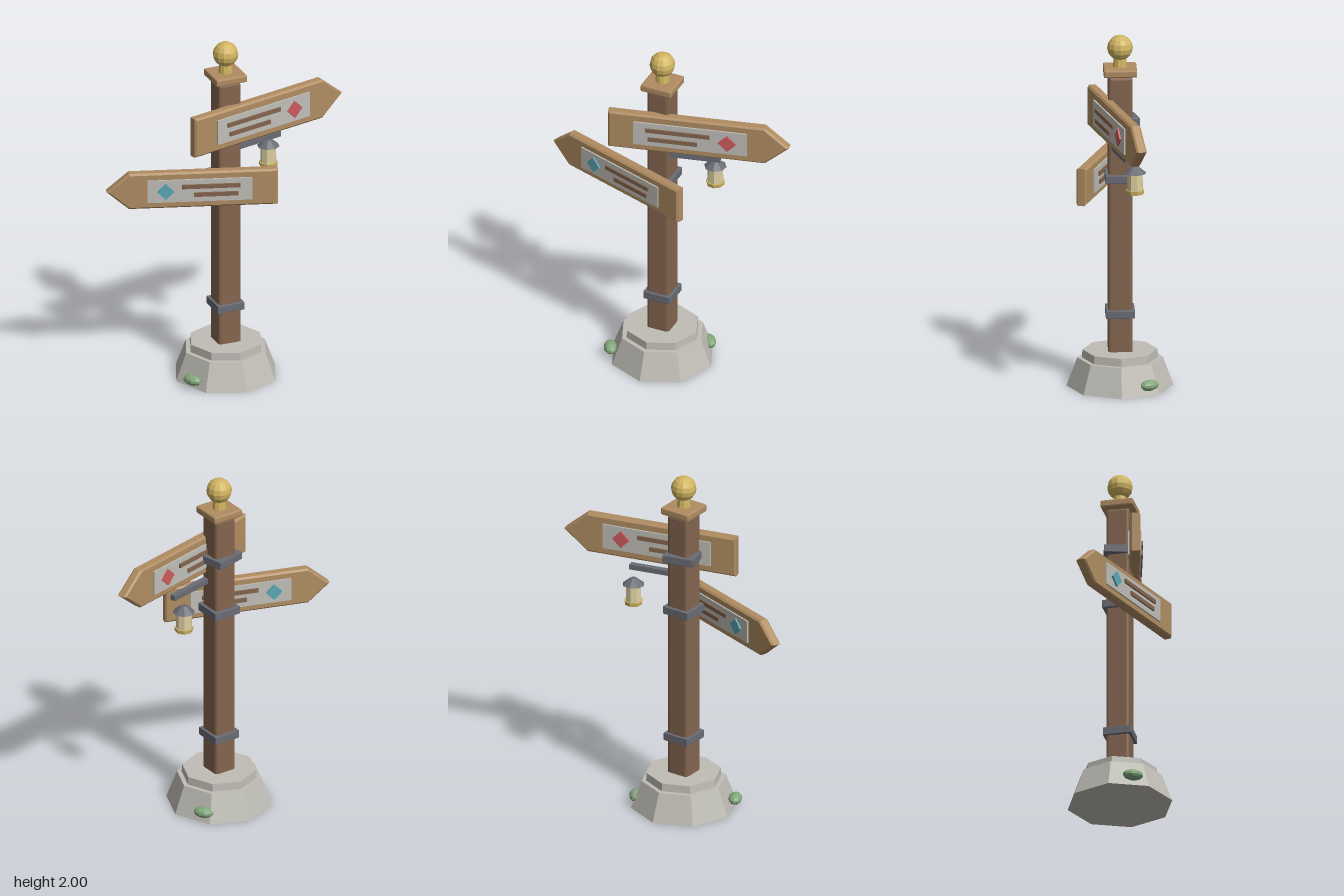
import * as THREE from 'three';
import { RoundedBoxGeometry } from 'three/addons/geometries/RoundedBoxGeometry.js';

const mat = (name, color) => {
  const m = new THREE.MeshStandardMaterial({ color });
  m.name = name;
  return m;
};

// Faceted normals for every low-poly part
function flat(geo) {
  const g = geo.index ? geo.toNonIndexed() : geo;
  g.computeVertexNormals();
  return g;
}

export function createModel() {
  const M = {
    post: mat('dark wood', 0x84654f),
    board: mat('light wood', 0xb08d62),
    stone: mat('stone', 0xbfbdb5),
    plaque: mat('plaque grey', 0xc0beb8),
    metal: mat('dark metal', 0x6a6c75),
    gold: mat('brass', 0xd2b562),
    glass: mat('lantern glass', 0xdccfa0),
    red: mat('red marker', 0xcc5a5c),
    teal: mat('teal marker', 0x5aa9b8),
    moss: mat('moss green', 0x84a87c),
  };
  const root = new THREE.Group();
  root.name = 'signpost';
  const body = new THREE.Group();
  body.name = 'postAssembly';
  body.position.x = -0.025;
  root.add(body);

  const add = (parent, name, geo, material, x = 0, y = 0, z = 0) => {
    const mesh = new THREE.Mesh(flat(geo), material);
    mesh.name = name;
    mesh.position.set(x, y, z);
    parent.add(mesh);
    return mesh;
  };
  const chamferBox = (w, h, d, b) => new RoundedBoxGeometry(w, h, d, 1, b);
  const cyl = (rTop, rBottom, h, n) => new THREE.CylinderGeometry(rTop, rBottom, h, n);

  // Octagonal stone base and collar
  add(body, 'stoneBase', cyl(0.236, 0.295, 0.16, 8), M.stone, 0, 0.08);
  add(body, 'stoneCollar', cyl(0.207, 0.21, 0.045, 8), M.stone, 0, 0.1825);

  // Moss clumps lying along the base
  [[0.212, -0.155], [-0.255, 0.13]].forEach(([x, z]) => {
    const moss = add(body, 'mossClump', new THREE.SphereGeometry(1, 10, 7), M.moss, x, 0.055, z);
    moss.scale.set(0.058, 0.03, 0.038);
    moss.rotation.y = Math.atan2(x, z);
  });

  // Post, cap and finial
  add(body, 'post', chamferBox(0.132, 1.59, 0.132, 0.015), M.post, 0, 0.98);
  add(body, 'postCap', chamferBox(0.184, 0.042, 0.184, 0.008), M.board, 0, 1.8);
  add(body, 'finialNeck', cyl(0.034, 0.04, 0.06, 10), M.gold, 0, 1.845);
  add(body, 'finialBall', new THREE.SphereGeometry(0.071, 12, 8), M.gold, 0, 1.929);

  // Metal bands: [height, half width, turn]
  [[0.422, 0.08, 0], [1.195, 0.083, 0], [1.52, 0.09, 0.24]].forEach(([y, r, turn]) => {
    const band = add(body, 'metalBand', chamferBox(r * 2, 0.046, r * 2, 0.003), M.metal, 0, y);
    band.rotation.y = turn;
  });

  // Arrow board with a plaque, text bars and diamond on both faces
  function arrowSign(name, o) {
    const g = new THREE.Group();
    g.name = name;
    g.position.y = o.y;
    g.rotation.y = o.turn;
    body.add(g);

    const h = o.height / 2, d = o.dir, t = 0.058, bevel = 0.01;
    const shape = new THREE.Shape([
      [o.end, -h], [o.shoulder, -h], [o.tip, 0], [o.shoulder, h], [o.end, h],
    ].map(([x, y]) => new THREE.Vector2(x * d, y)));
    const board = new THREE.ExtrudeGeometry(shape, {
      depth: t - bevel * 2, bevelEnabled: true, bevelSegments: 1,
      bevelSize: bevel, bevelOffset: -bevel, bevelThickness: bevel,
    });
    board.translate(0, 0, -t / 2 + bevel);
    add(g, 'arrowBoard', board, M.board, 0, 0, o.offset);

    for (const side of [1, -1]) {
      const z = (k) => o.offset + side * k;
      const [p0, p1, ph] = o.plaque;
      add(g, 'plaque', new THREE.BoxGeometry(p1 - p0, ph, 0.009), M.plaque, d * (p0 + p1) / 2, 0, z(0.0335));
      o.bars.forEach(([a, b, y]) =>
        add(g, 'textBar', new THREE.BoxGeometry(b - a, 0.024, 0.009), M.post, d * (a + b) / 2, y, z(0.0425)));
      const s = o.diamond[1] * Math.SQRT2;
      const diamond = add(g, 'diamondMarker', new THREE.BoxGeometry(s, s, 0.0095), o.marker, d * o.diamond[0], 0, z(0.0427));
      diamond.rotation.z = Math.PI / 4;
    }
    return g;
  }

  const upper = arrowSign('upperSign', {
    y: 1.53, turn: 0.24, dir: 1, offset: 0.078, height: 0.232,
    end: -0.287, shoulder: 0.594, tip: 0.731, plaque: [-0.141, 0.496, 0.145],
    bars: [[-0.074, 0.289, 0.029], [-0.059, 0.219, -0.028]],
    diamond: [0.387, 0.05], marker: M.red,
  });
  arrowSign('lowerSign', {
    y: 1.191, turn: -0.32, dir: -1, offset: 0.143, height: 0.212,
    end: -0.275, shoulder: 0.548, tip: 0.672, plaque: [-0.133, 0.446, 0.133],
    bars: [[-0.067, 0.256, 0.026], [-0.054, 0.19, -0.023]],
    diamond: [0.346, 0.047], marker: M.teal,
  });

  // Lantern arm runs parallel to the upper board
  add(upper, 'lanternArm', new THREE.BoxGeometry(0.29, 0.03, 0.034), M.metal, 0.19, -0.155, 0.047);

  // Hanging lantern
  const lantern = new THREE.Group();
  lantern.name = 'lantern';
  lantern.position.set(0.263, 0, -0.073);
  lantern.rotation.y = 0.24;
  root.add(lantern);
  add(lantern, 'lanternRoof', cyl(0.018, 0.063, 0.038, 8), M.metal, 0, 1.31);
  add(lantern, 'lanternGlass', cyl(0.043, 0.045, 0.1, 8), M.glass, 0, 1.243);
  add(lantern, 'lanternBase', cyl(0.053, 0.05, 0.022, 8), M.gold, 0, 1.185);

  return root;
}
